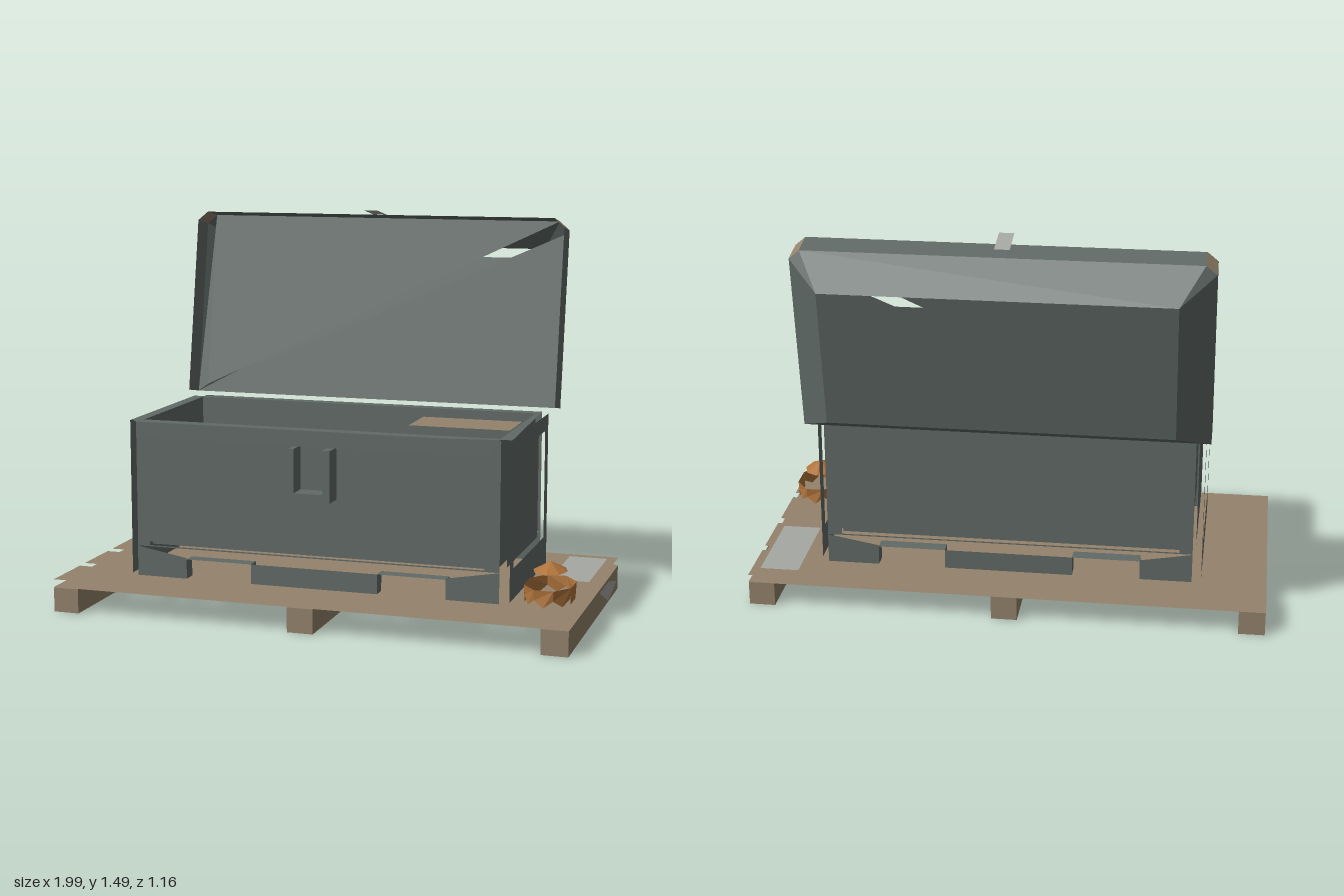
import * as THREE from 'three';

const mat = (name, color) => new THREE.MeshStandardMaterial({ name, color, flatShading: true, side: THREE.DoubleSide });

export function createModel() {
  const root = new THREE.Group();
  const metal = mat('grey green metal', 0x616a67);
  const wood = mat('pale wood', 0x94836c);
  const rust = mat('rust orange', 0xb0743c);
  const paper = mat('light grey', 0xa6a8a4);

  const group = name => {
    const g = new THREE.Group();
    g.name = name;
    root.add(g);
    return g;
  };
  const add = (parent, name, geo, m) => {
    const mesh = new THREE.Mesh(geo, m);
    mesh.name = name;
    parent.add(mesh);
    return mesh;
  };
  // Box given by its limits on each axis
  const box = (parent, name, m, x0, x1, y0, y1, z0, z1) => {
    const g = new THREE.BoxGeometry(x1 - x0, y1 - y0, z1 - z0);
    g.translate((x0 + x1) / 2, (y0 + y1) / 2, (z0 + z1) / 2);
    return add(parent, name, g, m);
  };
  // Flat convex polygons, each drawn as a triangle fan
  const faces = (parent, name, m, polys) => {
    const pos = [];
    for (const p of polys)
      for (let i = 1; i < p.length - 1; i++) pos.push(...p[0], ...p[i], ...p[i + 1]);
    const g = new THREE.BufferGeometry();
    g.setAttribute('position', new THREE.Float32BufferAttribute(pos, 3));
    g.computeVertexNormals();
    return add(parent, name, g, m);
  };
  // Rectangles facing along y, z and x
  const level = (x0, x1, y, z0, z1) => [[x0, y, z0], [x0, y, z1], [x1, y, z1], [x1, y, z0]];
  const upright = (x0, x1, y0, y1, z) => [[x0, y0, z], [x1, y0, z], [x1, y1, z], [x0, y1, z]];
  const sideways = (x, y0, y1, z0, z1) => [[x, y0, z1], [x, y0, z0], [x, y1, z0], [x, y1, z1]];
  const rect = (a0, a1, b0, b1) => [[a0, b0], [a1, b0], [a1, b1], [a0, b1]];
  // Flat sheet with one opening
  const sheet = (outer, hole) => {
    const toVec = pts => pts.map(p => new THREE.Vector2(...p));
    const s = new THREE.Shape(toVec(outer));
    s.holes.push(new THREE.Path(toVec(hole)));
    return new THREE.ShapeGeometry(s);
  };

  // Pallet: three beams under four planks, each plank an upper and a lower sheet
  const pallet = group('pallet');
  for (const x of [-1, -0.06, 0.885]) box(pallet, 'beam', wood, x, x + 0.1, 0, 0.094, -0.415, 0.58);
  for (const [z0, z1] of [[-0.42, -0.2], [-0.16, 0.055], [0.1, 0.31], [0.355, 0.58]])
    faces(pallet, 'plank', wood, [level(-1, 0.985, 0.096, z0, z1), level(-1, 0.985, 0.126, z0, z1)]);

  // Chest walls: thin frames, each with a recessed panel behind its opening
  const chest = group('chest');
  for (const [name, zFrame, zPanel] of [['front', 0.43, 0.405], ['back', -0.265, -0.24]]) {
    const g = sheet(rect(-0.715, 0.7, 0.245, 0.725), rect(-0.665, 0.645, 0.25, 0.665));
    g.translate(0, 0, zFrame);
    add(chest, name + 'Frame', g, metal);
    faces(chest, name + 'Panel', metal, [upright(-0.665, 0.645, 0.25, 0.665, zPanel)]);
  }
  for (const [name, xFrame, xPanel] of [['left', 0.732, 0.707], ['right', -0.75, -0.725]]) {
    const g = sheet(rect(-0.405, 0.23, 0.13, 0.725), rect(-0.345, 0.175, 0.245, 0.665));
    g.rotateY(Math.PI / 2);
    g.translate(xFrame, 0, 0);
    add(chest, name + 'Frame', g, metal);
    faces(chest, name + 'Panel', metal, [sideways(xPanel, 0.245, 0.665, -0.175, 0.345)]);
  }
  // Inner box
  faces(chest, 'innerWalls', metal, [
    upright(-0.705, 0.685, 0.25, 0.725, 0.375), upright(-0.705, 0.685, 0.25, 0.725, -0.215),
    sideways(-0.705, 0.25, 0.725, -0.215, 0.375), sideways(0.685, 0.25, 0.725, -0.215, 0.375),
    level(-0.705, 0.685, 0.25, -0.215, 0.375),
  ]);
  // Rim between the inner box and the frames
  const rimGeo = sheet(
    [[-0.75, 0.23], [-0.51, 0.265], [0.7, 0.265], [0.732, -0.39], [0.5, -0.43], [-0.715, -0.43], [-0.75, -0.39]],
    rect(-0.705, 0.685, -0.375, 0.215));
  rimGeo.rotateX(-Math.PI / 2);
  rimGeo.translate(0, 0.725, 0);
  add(chest, 'rim', rimGeo, metal);
  // Skirt at front and back: feet with inner ends, arches between them
  for (const [zOut, zIn] of [[0.432, 0.378], [-0.267, -0.213]]) {
    const z0 = Math.min(zOut, zIn), z1 = Math.max(zOut, zIn);
    faces(chest, 'feet', metal, [
      [[-0.715, 0.13, zOut], [-0.515, 0.13, zOut], [-0.515, 0.21, zOut], [-0.715, 0.245, zOut]],
      upright(-0.255, 0.24, 0.13, 0.205, zOut),
      [[0.5, 0.13, zOut], [0.7, 0.13, zOut], [0.7, 0.245, zOut], [0.5, 0.21, zOut]],
      ...[-0.515, -0.255, 0.24, 0.5].map(x => sideways(x, 0.13, 0.205, z0, z1)),
    ]);
    faces(chest, 'arches', metal, [level(-0.515, -0.255, 0.205, z0, z1), level(0.24, 0.5, 0.205, z0, z1)]);
  }
  // Open latch bracket
  box(chest, 'latchSide', metal, -0.085, -0.065, 0.47, 0.665, 0.405, 0.485);
  box(chest, 'latchSide', metal, 0.045, 0.075, 0.47, 0.665, 0.405, 0.485);
  box(chest, 'latchBase', metal, -0.065, 0.045, 0.47, 0.5, 0.405, 0.485);
  // Inner tray with a loose board
  faces(chest, 'tray', metal, [
    level(-0.695, 0.68, 0.58, -0.21, 0.11), upright(-0.695, 0.68, 0.58, 0.66, 0.11),
  ]);
  faces(chest, 'board', wood, [level(0.25, 0.645, 0.7, -0.155, 0.055)]);

  // Open lid: built flat, then tipped back; the hinge edge is left open
  const lid = group('lid');
  lid.position.set(-0.006, 0.75, -0.225);
  lid.rotation.x = -0.177;
  const h = 0.764, b = 0.64, rimZ = -0.107, backZ = -0.247;
  const rim = [[-h, 0], [h, 0], [h, 0.7], [h - 0.04, 0.735], [-h + 0.04, 0.735], [-h, 0.7]];
  const back = [[-b, 0.101], [b, 0.101], [b, 0.638], [b, 0.638], [-b, 0.638], [-b, 0.638]];
  const walls = [], corners = [], slopes = [];
  rim.forEach((p, i) => {
    const j = (i + 1) % 6, q = rim[j];
    const isCorner = i === 2 || i === 4;
    if (i > 0) (isCorner ? corners : walls).push([[...p, 0], [...p, rimZ], [...q, rimZ], [...q, 0]]);
    const slope = [[...p, rimZ], [...back[i], backZ], [...q, rimZ]];
    if (!isCorner) slope.splice(2, 0, [...back[j], backZ]);
    slopes.push(slope);
  });
  faces(lid, 'lidRim', metal, walls);
  faces(lid, 'lidCorners', wood, corners);
  faces(lid, 'lidSlopes', metal, slopes);
  faces(lid, 'lidBack', metal, [upright(-b, b, 0.101, 0.6, backZ)]);
  // Split lining inside the lid, leaving a gap towards one corner
  faces(lid, 'lidLining', metal, [
    [[-h, 0, -0.104], [h, 0, -0.104], [h, 0.69, -0.104]],
    [[-h + 0.04, 0.03, -0.104], [h - 0.04, 0.734, -0.104], [-h + 0.04, 0.734, -0.104]],
    [[-h, 0, -0.104], [-h + 0.04, 0.03, -0.104], [-h + 0.04, 0.734, -0.104]],
  ]);
  faces(lid, 'hasp', paper, [level(-0.028, 0.028, 0.742, -0.056, 0.077)]);

  // Loose sheets on the pallet
  faces(root, 'topSheet', paper, [level(0.8, 0.95, 0.131, -0.365, 0.02)]);
  faces(root, 'sideSheet', paper, [[[0.992, 0.09, 0.02], [0.992, 0.015, -0.165], [0.992, 0.05, -0.35], [0.992, 0.09, -0.17]]]);

  // Small broken lamp: floating cap over a jagged ring
  const lamp = group('lamp');
  lamp.position.set(0.87, 0, 0.352);
  const cap = add(lamp, 'lampCap', new THREE.ConeGeometry(1, 0.035, 8, 1, true), rust);
  cap.scale.set(0.063, 1, 0.085);
  cap.position.y = 0.2675;
  const ring = (i, y, s) => {
    const a = (i + 0.5) * Math.PI / 4;
    return [0.094 * s * Math.cos(a), y, 0.13 * s * Math.sin(a)];
  };
  const shards = [];
  for (let i = 0; i < 8; i++) {
    const top = [ring(i, 0.203, 1), ring(i + 1, 0.203, 1)];
    // Whole panes on the two long sides, broken ones elsewhere
    if (i % 4 === 3) shards.push([...top, ring(i + 1, 0.14, 0.96), ring(i, 0.14, 0.96)]);
    else shards.push([...top, ring(i + 1, 0.165, 0.97), ring(i + 0.5, 0.14, 0.95), ring(i, 0.165, 0.97)]);
  }
  faces(lamp, 'lampRing', rust, shards);
  return root;
}
